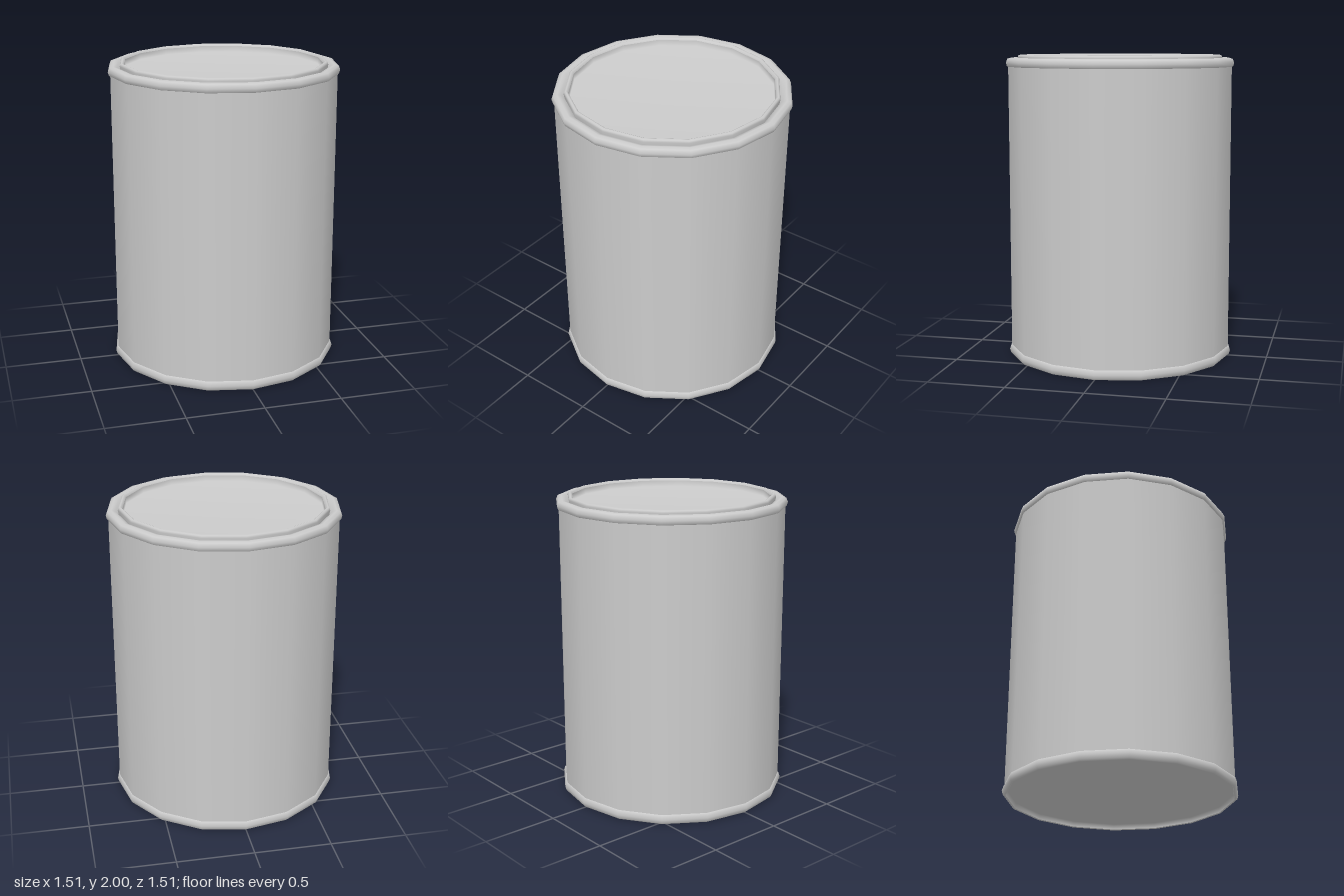
import * as THREE from 'three';

const SIDES = 16;
const material = new THREE.MeshStandardMaterial({ color: 0xcccccc, side: THREE.DoubleSide });

// Revolves a profile of [radius, height] points, smooth along its length
function turned(name, profile) {
  const points = profile.map(([r, y]) => new THREE.Vector2(r, y));
  const mesh = new THREE.Mesh(new THREE.LatheGeometry(points, SIDES), material);
  mesh.name = name;
  return mesh;
}

export function createModel() {
  const can = new THREE.Group();
  can.name = 'tinCan';

  // Straight side wall
  can.add(turned('canWall', [[0.74, 0.03], [0.74, 1.96]]));

  // Rolled rim at the foot, turning under into the recessed base
  can.add(turned('bottomRim', [
    [0.73, 0.005], [0.737, 0], [0.748, 0.01], [0.755, 0.035], [0.747, 0.06], [0.738, 0.065],
  ]));
  can.add(turned('basePanel', [[0, 0.04], [0.725, 0.04], [0.73, 0.005]]));

  // Rolled rim at the top, dipping into the groove around the lid
  can.add(turned('topRim', [
    [0.738, 1.922], [0.748, 1.926], [0.755, 1.95], [0.745, 1.975],
    [0.72, 1.982], [0.695, 1.975], [0.672, 1.95],
  ]));

  // Lid: rounded lip around a sunken panel
  const lid = new THREE.Group();
  lid.name = 'lid';
  lid.add(turned('lidLip', [
    [0.672, 1.945], [0.678, 1.982], [0.674, 1.995], [0.664, 2], [0.654, 1.996], [0.648, 1.985],
  ]));
  lid.add(turned('lidPanel', [[0.648, 1.985], [0.646, 1.945], [0, 1.945]]));
  can.add(lid);

  return can;
}
